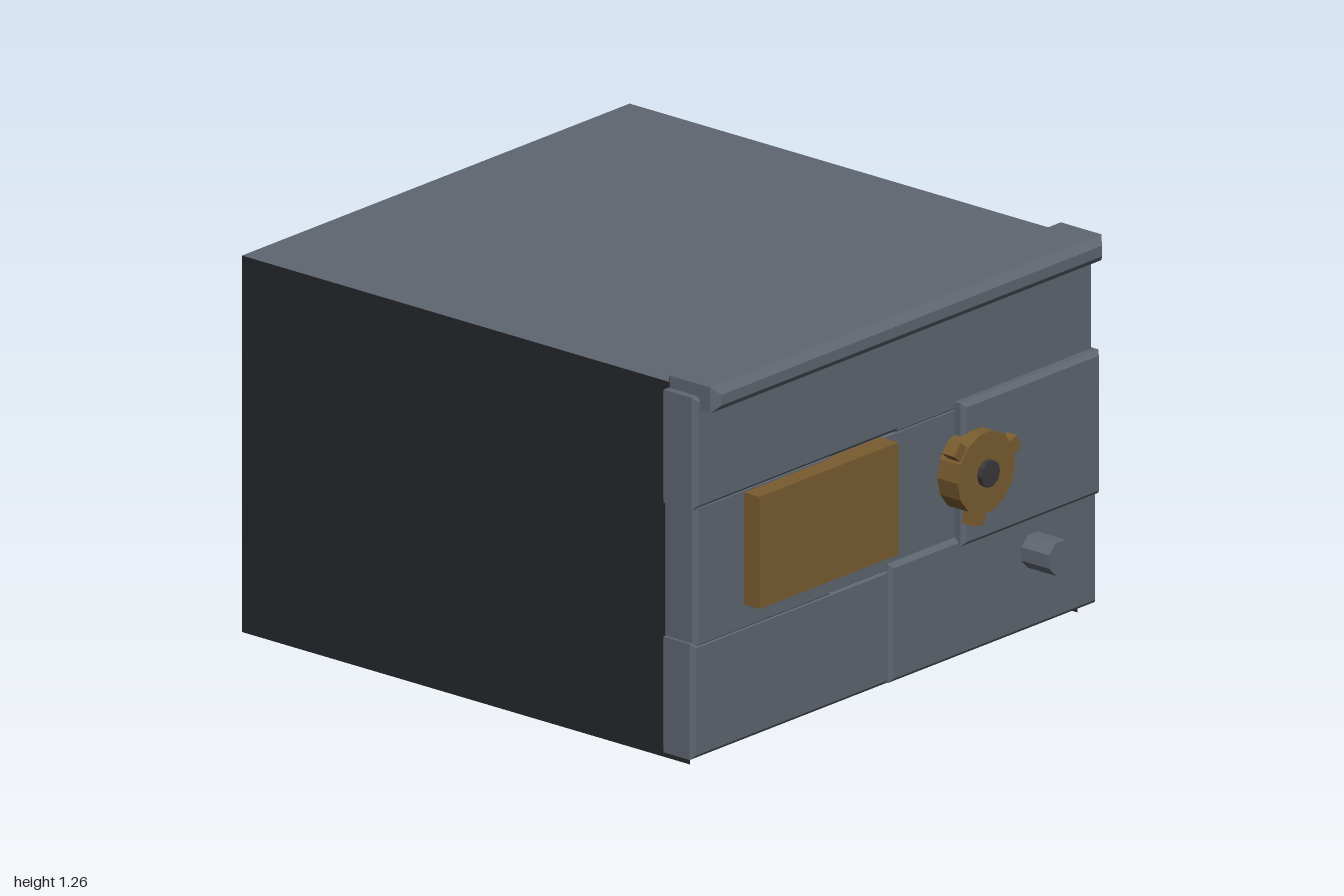
import * as THREE from 'three';

const paint = (color, extra = {}) => new THREE.MeshStandardMaterial({ color, flatShading: true, ...extra });

// Box with chamfered edges, given by its outer limits
function chamferBox(x0, x1, y0, y1, z0, z1, c) {
  const s = new THREE.Shape([
    new THREE.Vector2(x0 + c, y0 + c), new THREE.Vector2(x1 - c, y0 + c),
    new THREE.Vector2(x1 - c, y1 - c), new THREE.Vector2(x0 + c, y1 - c),
  ]);
  const g = new THREE.ExtrudeGeometry(s, {
    depth: z1 - z0 - 2 * c, bevelEnabled: true, bevelThickness: c, bevelSize: c, bevelSegments: 1,
  });
  return g.translate(0, 0, z0 + c);
}

// Cylinder lying along z, between z0 and z1
function roundZ(r, sides, x, y, z0, z1) {
  return new THREE.CylinderGeometry(r, r, z1 - z0, sides)
    .rotateY(Math.PI / sides).rotateX(Math.PI / 2).translate(x, y, (z0 + z1) / 2);
}

export function createModel() {
  const group = new THREE.Group();
  const slate = paint(0x5f6670);
  const slateShell = paint(0x5f6670, { side: THREE.DoubleSide });
  const dark = paint(0x25262a, { side: THREE.DoubleSide });
  const brass = paint(0x7a5c30);
  const hubMat = paint(0x3c383c);

  const add = (name, geometry, material, parent = group) => {
    const m = new THREE.Mesh(geometry, material);
    m.name = name;
    parent.add(m);
    return m;
  };

  // Shell: thin walls and roof, open at the front and underneath
  const W = 0.912, H = 1.235, Z0 = -1, Z1 = 0.83;
  const depth = Z1 - Z0, zMid = (Z0 + Z1) / 2;
  add('roof', new THREE.PlaneGeometry(2 * W, depth).rotateX(-Math.PI / 2).translate(0, H, zMid), slateShell);
  add('backWall', new THREE.PlaneGeometry(2 * W, H).rotateY(Math.PI).translate(0, H / 2, Z0), dark);
  for (const [name, s] of [['leftWall', 1], ['rightWall', -1]]) {
    add(name, new THREE.PlaneGeometry(depth, H).rotateY(s * Math.PI / 2).translate(s * W, H / 2, zMid), dark);
  }

  // Front face: staggered stone blocks [x0, x1, y0, y1, zFront]
  const blocks = new THREE.Group();
  blocks.name = 'frontBlocks';
  group.add(blocks);
  [
    [-0.945, 0.02, 0.85, 1.22, 0.88],
    [0.0, 0.945, 0.835, 1.205, 0.868],
    [-0.935, -0.29, 0.39, 0.865, 0.872],
    [-0.305, 0.31, 0.39, 0.855, 0.866],
    [0.29, 0.94, 0.40, 0.87, 0.905],
    [-0.945, -0.015, 0.03, 0.41, 0.872],
    [-0.03, 0.945, 0.035, 0.425, 0.885],
  ].forEach(([x0, x1, y0, y1, z1], i) =>
    add('block' + (i + 1), chamferBox(x0, x1, y0, y1, 0.737, z1, 0.014), slate, blocks));

  // Overhanging lip along the top front edge
  add('topLip', chamferBox(-0.92, 0.92, 1.175, 1.26, 0.73, 0.945, 0.025), slate);

  // Brass plate
  add('plate', new THREE.BoxGeometry(0.655, 0.368, 0.09).translate(-0.378, 0.662, 0.89), brass);

  // Dial with three grips and a dark hub
  const dial = new THREE.Group();
  dial.name = 'dial';
  dial.position.set(0.345, 0.642, 0);
  group.add(dial);
  add('dialDisc', roundZ(0.135, 14, 0, 0, 0.86, 0.95), brass, dial);
  for (const deg of [20, 140, 260]) {
    add('dialGrip', new THREE.BoxGeometry(0.07, 0.05, 0.05).translate(0.135, 0, 0.92)
      .rotateZ(THREE.MathUtils.degToRad(deg)), brass, dial);
  }
  add('dialHub', roundZ(0.044, 10, 0, 0, 0.9, 0.968), hubMat, dial);

  // Small peg at the lower left
  add('peg', roundZ(0.058, 8, 0.637, 0.295, 0.84, 1.0), slate);

  return group;
}
